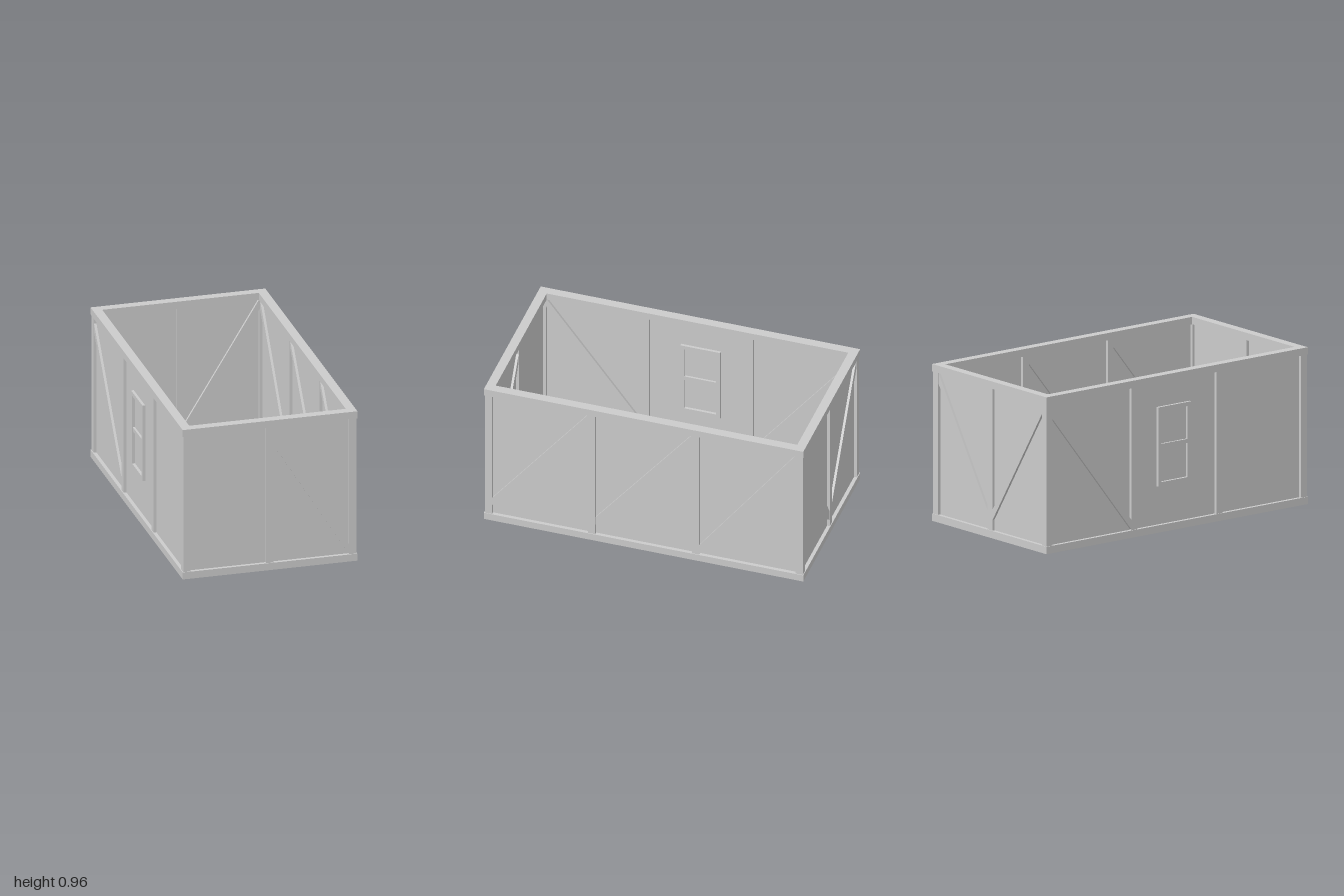
import * as THREE from 'three';

const W = 0.54, L = 1, H = 0.96, RAIL = 0.045, POST = 0.045;
const LOW = RAIL, TOP = H - RAIL;
const XC = 0.513, ZC = 0.973; // centre planes of the side and end walls
const mat = new THREE.MeshStandardMaterial({ color: 0xcccccc, flatShading: true });

function add(parent, name, geometry) {
  const mesh = new THREE.Mesh(geometry, mat);
  mesh.name = name;
  parent.add(mesh);
  return mesh;
}

function box(parent, name, w, h, d, x, y, z) {
  const mesh = add(parent, name, new THREE.BoxGeometry(w, h, d));
  mesh.position.set(x, y, z);
  return mesh;
}

// Rectangular outline as a shape or hole
function rect(target, x0, y0, x1, y1) {
  target.moveTo(x0, y0);
  target.lineTo(x1, y0);
  target.lineTo(x1, y1);
  target.lineTo(x0, y1);
  target.closePath();
  return target;
}

// Continuous rail round the building
function ringBeam(parent, name, y) {
  const shape = rect(new THREE.Shape(), -W, -L, W, L);
  shape.holes.push(rect(new THREE.Path(), -W + 0.056, -L + 0.056, W - 0.056, L - 0.056));
  const g = new THREE.ExtrudeGeometry(shape, { depth: RAIL, bevelEnabled: false });
  g.rotateX(-Math.PI / 2);
  add(parent, name, g).position.y = y;
}

// Diagonal with plumb-cut ends: u runs along the wall, [bottom, top] at each end
function brace(parent, u0, [a0, a1], u1, [b0, b1], from = -0.02, to = 0.02) {
  const shape = new THREE.Shape([[u0, a0], [u1, b0], [u1, b1], [u0, a1]].map(p => new THREE.Vector2(...p)));
  const g = new THREE.ExtrudeGeometry(shape, { depth: to - from, bevelEnabled: false });
  add(parent, 'diagonalBrace', g.translate(0, 0, from));
}

// Wall in its own plane: infill panel and intermediate posts
function wall(parent, name, halfLength, posts) {
  const g = new THREE.Group();
  g.name = name;
  box(g, 'infillPanel', halfLength * 2, H - RAIL, 0.01, 0, H / 2, 0);
  for (const u of posts) box(g, 'post', POST, TOP - LOW, POST, u, H / 2, 0);
  parent.add(g);
  return g;
}

export function createModel() {
  const model = new THREE.Group();
  model.name = 'timberFrameStorey';

  ringBeam(model, 'sillBeam', 0);
  ringBeam(model, 'topPlate', H - RAIL);
  for (const x of [-1, 1]) for (const z of [-1, 1])
    box(model, 'cornerPost', POST, TOP - LOW, POST, x * XC, H / 2, z * ZC);

  // Front wall, u = +x
  const front = wall(model, 'frontWall', XC, [0]);
  front.position.z = ZC;
  brace(front, 0.022, [0.8, 0.865], 0.49, [0.045, 0.11]);

  // Back wall, u = +x, braces meeting at the foot of the middle post
  const back = wall(model, 'backWall', XC, [0]);
  back.position.z = -ZC;
  brace(back, 0.022, [0.09, 0.155], 0.49, [0.85, 0.915]);
  brace(back, -0.49, [0.85, 0.915], -0.022, [0.11, 0.175]);

  // Right-hand wall at +x, u = -z
  const right = wall(model, 'leftSideWall', ZC, [-0.327, 0.323]);
  right.rotation.y = Math.PI / 2;
  right.position.x = XC;
  brace(right, -0.95, [0.11, 0.16], -0.35, [0.865, 0.915]);
  brace(right, -0.305, [0.11, 0.165], 0.3, [0.865, 0.915]);
  brace(right, 0.345, [0.05, 0.11], 0.95, [0.855, 0.915]);

  // Wall at -x, u = +z, outer face towards -depth
  const left = wall(model, 'rightSideWall', ZC, [-0.323, 0.327]);
  left.rotation.y = -Math.PI / 2;
  left.position.x = -XC;
  brace(left, -0.95, [0.82, 0.875], -0.345, [0.05, 0.11]);
  brace(left, 0.35, [0.08, 0.14], 0.95, [0.855, 0.915], -0.02, 0);

  // Window: frame with a crossbar, standing proud on both faces
  const win = new THREE.Group();
  win.name = 'window';
  const frame = rect(new THREE.Shape(), -0.14, 0.28, 0.11, 0.765);
  frame.holes.push(rect(new THREE.Path(), -0.115, 0.305, 0.085, 0.74));
  const fg = new THREE.ExtrudeGeometry(frame, { depth: 0.044, bevelEnabled: false });
  add(win, 'windowFrame', fg.translate(0, 0, -0.022));
  box(win, 'windowCrossbar', 0.2, 0.025, 0.036, -0.015, 0.525, 0);
  left.add(win);

  return model;
}
